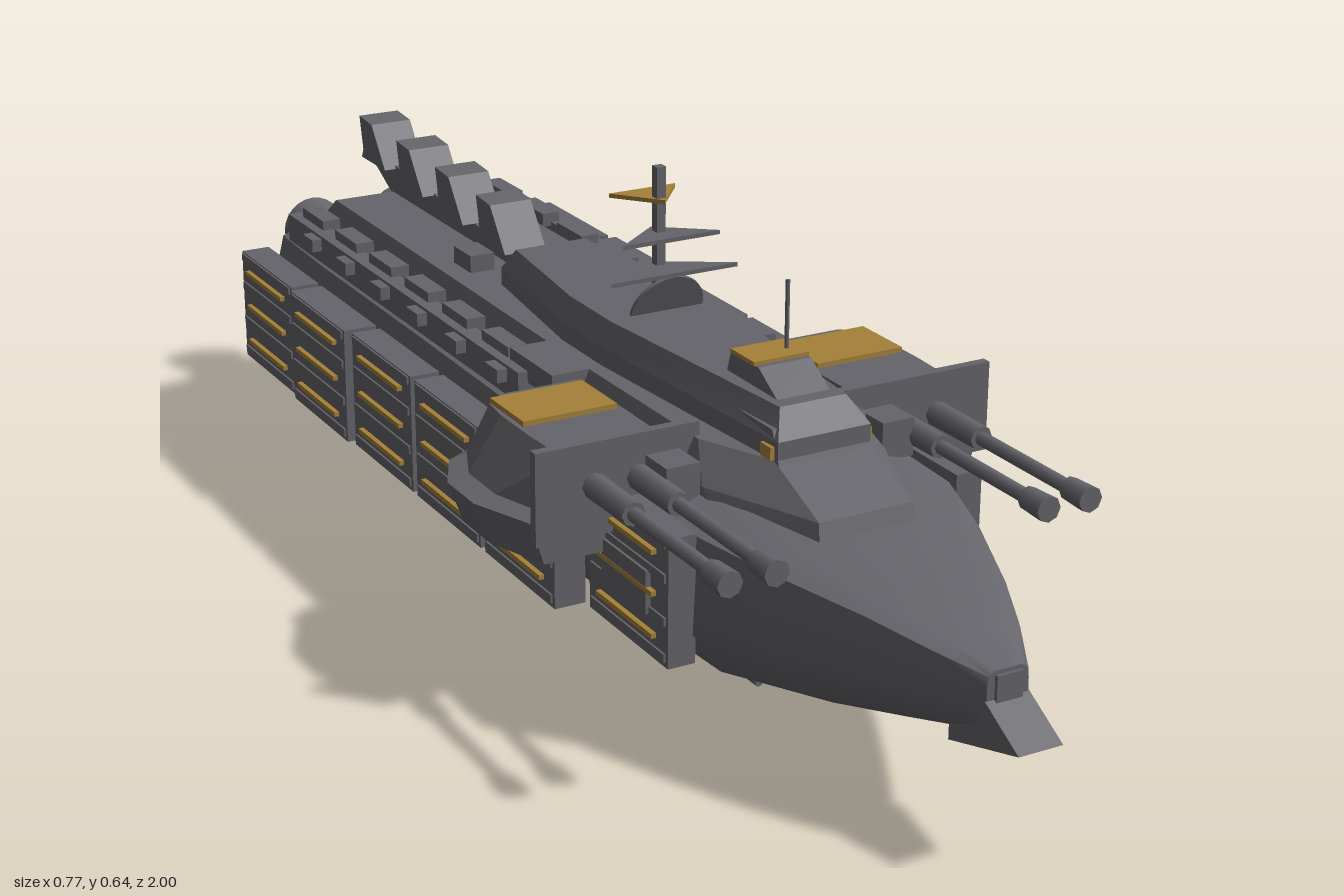
import * as THREE from 'three';
import { toCreasedNormals } from 'three/addons/utils/BufferGeometryUtils.js';

const paint = (name, color, side = THREE.FrontSide) => {
  const m = new THREE.MeshStandardMaterial({ color, side });
  m.name = name;
  return m;
};

// Skin closed rings of [x, y, z] points, cap both ends and face everything outward
function loft(rings, crease = 0.5) {
  const n = rings[0].length, pos = [], tris = [];
  const centre = r => [0, 1, 2].map(k => r.reduce((a, p) => a + p[k], 0) / r.length);
  for (let i = 0; i < rings.length - 1; i++)
    for (let j = 0; j < n; j++) {
      const k = (j + 1) % n, a = rings[i], b = rings[i + 1];
      tris.push([a[j], b[j], b[k]], [a[j], b[k], a[k]]);
    }
  const first = rings[0], last = rings[rings.length - 1], c0 = centre(first), c1 = centre(last);
  for (let j = 0; j < n; j++) {
    const k = (j + 1) % n;
    tris.push([c0, first[j], first[k]], [c1, last[k], last[j]]);
  }
  let volume = 0;
  for (const [a, b, c] of tris)
    volume += new THREE.Vector3(...a).dot(new THREE.Vector3(...b).cross(new THREE.Vector3(...c)));
  for (const [a, b, c] of tris) pos.push(...a, ...(volume < 0 ? [...c, ...b] : [...b, ...c]));
  const g = new THREE.BufferGeometry();
  g.setAttribute('position', new THREE.Float32BufferAttribute(pos, 3));
  return toCreasedNormals(g, crease);
}

// Mirrored plan: half outline of [x, z] at height y
const plan = (half, y) => [
  ...half.map(([x, z]) => [x, y, z]),
  ...[...half].reverse().map(([x, z]) => [-x, y, z])
];

// Side profile of [z, y] points extruded to a width across x
const slab = (profile, w) => loft([-w / 2, w / 2].map(x => profile.map(([z, y]) => [x, y, z])), 0.1);

export function createModel() {
  const root = new THREE.Group();
  root.name = 'warship';
  const grey = paint('hullGrey', 0x65646a);
  const gold = paint('gold', 0xa5813a);
  const purple = paint('sensorPurple', 0x5f3a78);
  const shell = paint('nozzleGrey', 0x65646a, THREE.DoubleSide);
  const goldSheet = paint('goldSheet', 0xa5813a, THREE.DoubleSide);

  const add = (name, geo, mat, x = 0, y = 0, z = 0) => {
    const m = new THREE.Mesh(geo, mat);
    m.name = name;
    m.position.set(x, y, z);
    root.add(m);
    return m;
  };
  const box = (name, w, h, d, mat, x, y, z) => add(name, new THREE.BoxGeometry(w, h, d), mat, x, y, z);
  const rod = (name, r0, r1, len, sides, mat, x, y, z) =>
    add(name, new THREE.CylinderGeometry(r1, r0, len, sides).rotateX(Math.PI / 2), mat, x, y, z);

  // Main hull: [z, half width, top, bottom]
  const section = [[0, 1], [0.65, 1], [0.95, 0.93], [1, 0.77], [1.02, 0.43], [0.78, 0.18], [0.38, 0.03], [0, 0]];
  const stations = [
    [0.93, 0.03, 0.25, 0.165], [0.86, 0.07, 0.268, 0.145], [0.78, 0.108, 0.287, 0.122], [0.65, 0.162, 0.305, 0.085],
    [0.53, 0.2, 0.318, 0.058], [0.2, 0.21, 0.325, 0.043], [-0.3, 0.21, 0.33, 0.04],
    [-0.68, 0.21, 0.33, 0.055], [-0.82, 0.207, 0.33, 0.07], [-0.87, 0.196, 0.322, 0.08]
  ];
  add('hull', loft(stations.map(([z, w, top, bottom]) => {
    const half = section.map(([x, t]) => [x * w, bottom + (top - bottom) * t, z]);
    return [...half, ...half.slice(1, -1).reverse().map(([x, y]) => [-x, y, z])];
  }), 0.85), grey);
  add('beak', slab([[0.86, 0.21], [0.93, 0.212], [1, 0.172], [0.86, 0.13]], 0.064), grey);
  box('beakCap', 0.038, 0.045, 0.06, grey, 0, 0.222, 0.905);

  // Decks and superstructure
  add('mainDeck', loft([
    plan([[0.075, 0.63], [0.14, 0.48], [0.145, 0.1], [0.145, -0.83]], 0.3),
    plan([[0.07, 0.62], [0.14, 0.45], [0.142, 0.1], [0.14, -0.83]], 0.33),
    plan([[0.07, 0.51], [0.118, 0.4], [0.122, 0.1], [0.118, -0.8]], 0.375)
  ], 0.2), grey);
  add('superstructure', loft([
    plan([[0.07, 0.52], [0.1, 0.1], [0.1, -0.02], [0.068, -0.28]], 0.372),
    plan([[0.07, 0.52], [0.1, 0.1], [0.1, -0.02], [0.068, -0.28]], 0.402),
    plan([[0.05, 0.49], [0.085, 0.1], [0.085, -0.02], [0.058, -0.25]], 0.437)
  ], 0.2), grey);
  add('bridgeFront', slab([[0.525, 0.365], [0.505, 0.415], [0.42, 0.415], [0.42, 0.365]], 0.14), grey);
  for (const s of [1, -1]) box('bridgeLamp', 0.008, 0.018, 0.025, gold, s * 0.073, 0.385, 0.5);
  add('bridgeCabin', slab([[0.47, 0.435], [0.42, 0.466], [0.35, 0.466], [0.34, 0.435]], 0.08), grey);
  box('cabinRoof', 0.084, 0.006, 0.06, gold, 0, 0.468, 0.382);
  add('aerial', new THREE.CylinderGeometry(0.003, 0.003, 0.115, 6), grey, 0.024, 0.508, 0.385);

  // Mast with triangular antennas and a half dish
  box('mast', 0.014, 0.21, 0.014, grey, 0, 0.54, 0.083);
  [[0.5, 0.1, 0.13, 0.07, grey], [0.548, 0.077, 0.12, 0.06, grey], [0.597, 0.053, 0.035, 0.1, gold]]
    .forEach(([y, w, zBase, zTip, mat]) => add('mastAntenna', loft([-0.003, 0.003].map(
      h => [[-w, y + h, zBase], [w, y + h, zBase], [0, y + h, zTip]]), 0.1), mat));
  const dish = add('halfDish', new THREE.CylinderGeometry(0.057, 0.057, 0.005, 24, 1, false, Math.PI / 2, Math.PI)
    .rotateX(Math.PI / 2), shell, 0, 0.443, 0.105);
  dish.rotation.x = 0.35;

  // Dorsal spine and raked fins
  add('spine', slab([[-0.29, 0.37], [-0.29, 0.396], [-0.87, 0.427], [-0.87, 0.405], [-0.8, 0.37]], 0.03), grey);
  for (let i = 0; i < 4; i++) {
    const z = -0.335 - i * 0.15, y = 0.4 + i * 0.006;
    add('dorsalFin', slab([[z, y], [z - 0.05, y + 0.066], [z - 0.1, y + 0.07], [z - 0.088, y + 0.015], [z - 0.095, y]], 0.07), grey);
  }
  box('deckHatch', 0.04, 0.03, 0.06, grey, -0.066, 0.387, -0.38);
  box('deckHatch', 0.03, 0.025, 0.05, grey, 0.01, 0.385, -0.31);

  for (const s of [1, -1]) {
    // Trunk rail with boxes along the deck edge
    box('deckRail', 0.03, 0.045, 0.85, grey, s * 0.18, 0.335, -0.395);
    for (let i = 0; i < 6; i++) {
      box('railBox', 0.03, 0.022, 0.085, grey, s * 0.165, 0.362, -0.75 + i * 0.135);
      box('railFoot', 0.026, 0.02, 0.04, grey, s * 0.198, 0.343, -0.7 + i * 0.135);
    }
    box('deckLocker', 0.06, 0.035, 0.13, grey, s * 0.15, 0.358, 0.04);

    // Stand-off armour panels with ribs and gold slats
    for (let i = 0; i < 6; i++) {
      const z = 0.43 - i * 0.2265;
      const outer = i === 0 ? 0.238 : i === 4 ? 0.29 : 0.283, inner = i === 0 ? 0.198 : 0.237;
      box('armourPanel', outer - inner, 0.18, 0.212, grey, s * (outer + inner) / 2, 0.22, z);
      box('panelBracket', 0.05, 0.06, 0.12, grey, s * 0.22, 0.22, z);
      for (const y of [0.143, 0.194, 0.254, 0.302]) box('panelRib', 0.006, 0.012, 0.2, grey, s * outer, y, z);
      for (const y of [0.165, 0.224, 0.282]) box('panelSlat', 0.009, 0.007, 0.15, gold, s * (outer + 0.003), y, z);
    }

    // Sponson: flared band, inset upper body, gold roof plate and gun shield
    const rim = [[0.16, 0.1], [0.3, 0.1], [0.35, 0.13], [0.385, 0.2], [0.385, 0.28], [0.35, 0.375], [0.16, 0.375]];
    const ring = (k, y) => rim.map(([x, z]) => [s * (0.16 + (x - 0.16) * k), y, z]);
    const roof = [[0.15, 0.13], [0.27, 0.13], [0.3, 0.155], [0.305, 0.2], [0.305, 0.28], [0.3, 0.375], [0.15, 0.375]]
      .map(([x, z]) => [s * x, 0.374, z]);
    add('sponson', loft([ring(0.9, 0.232), ring(1, 0.293), ring(0.86, 0.3), roof], 0.25), grey);
    box('sponsonRoofPlate', 0.14, 0.009, 0.1, gold, s * 0.228, 0.377, 0.203);
    box('gunShield', 0.24, 0.13, 0.014, grey, s * 0.23, 0.33, 0.383);

    // Twin guns
    for (const x of [0.2, 0.265]) {
      rod('gunBreech', 0.018, 0.017, 0.11, 8, grey, s * x, 0.335, 0.44);
      rod('gunBarrel', 0.01, 0.01, 0.22, 8, grey, s * x, 0.335, 0.6);
      rod('gunMuzzle', 0.016, 0.018, 0.045, 8, grey, s * x, 0.335, 0.71);
    }
    box('gunMount', 0.05, 0.055, 0.06, grey, s * 0.165, 0.335, 0.415);

    // Belly gun turrets
    box('bellyTurret', 0.042, 0.04, 0.05, grey, s * 0.047, 0.045, 0.365);
    for (const x of [0.036, 0.058]) rod('bellyGun', 0.006, 0.006, 0.09, 8, grey, s * x, 0.036, 0.42);

    // Engine nozzles with gold collars and throats
    for (const y of [0.162, 0.267]) {
      const bell = [[0.034, 0], [0.036, 0.03], [0.043, 0.06], [0.053, 0.1]].map(p => new THREE.Vector2(...p));
      add('engineNozzle', new THREE.LatheGeometry(bell, 24).rotateX(-Math.PI / 2), shell, s * 0.08, y, -0.9);
      rod('nozzleCollar', 0.043, 0.043, 0.009, 24, gold, s * 0.08, y, -0.931);
      add('nozzleThroat', new THREE.CircleGeometry(0.038, 24), goldSheet, s * 0.08, y, -0.938);
    }

    // Gold runners under the belly
    box('bellyRunner', 0.012, 0.009, 0.16, gold, s * 0.112, 0.057, -0.235);
  }

  // Stern plate: chamfered block behind the hull
  const stern = (k, z) => [[0.14, 0.15], [0.14, 0.275], [0.1, 0.315], [-0.1, 0.315], [-0.14, 0.275], [-0.14, 0.15], [-0.1, 0.11], [0.1, 0.11]]
    .map(([x, y]) => [x * k, 0.212 + (y - 0.212) * k, z]);
  add('sternPlate', loft([stern(1.06, -0.865), stern(1, -0.91)], 0.2), grey);

  // Belly sensor dish, gold crossbar and keel
  const dishProfile = [[0, 0.003], [0.08, 0.003], [0.104, 0.014], [0.07, 0.027], [0, 0.027]];
  add('sensorDish', toCreasedNormals(new THREE.LatheGeometry(dishProfile.map(p => new THREE.Vector2(...p)), 32), 0.4), grey, 0, 0, -0.15);
  add('sensorLens', new THREE.CylinderGeometry(0.078, 0.078, 0.004, 32), purple, 0, 0.002, -0.15);
  add('sensorStem', new THREE.CylinderGeometry(0.03, 0.03, 0.04, 16), grey, 0, 0.04, -0.15);
  box('crossbar', 0.25, 0.008, 0.012, gold, 0, 0.046, -0.22);
  add('keel', slab([[-0.54, 0.06], [-0.56, 0.018], [-0.76, 0.018], [-0.79, 0.075]], 0.065), grey);

  return root;
}
